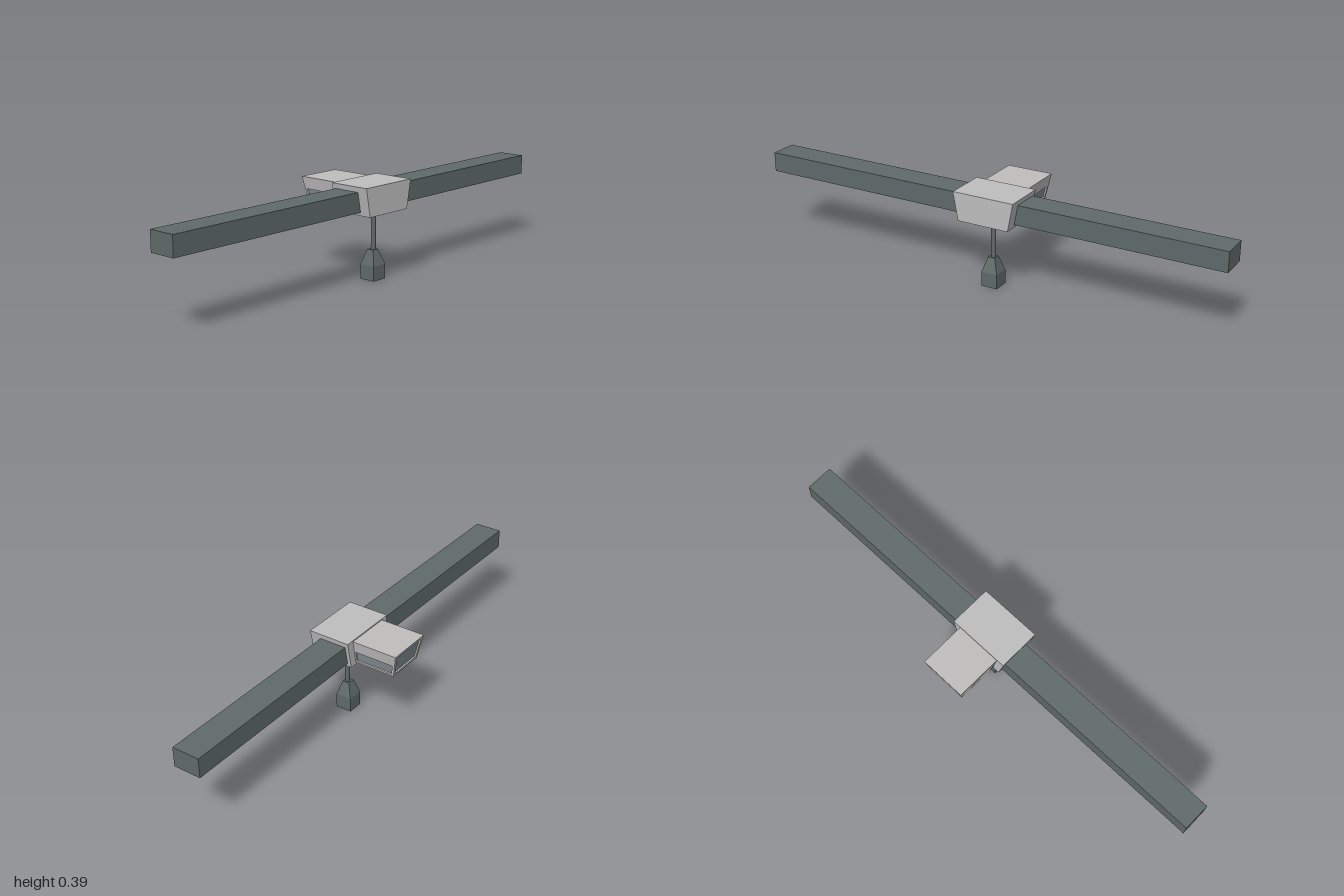
import * as THREE from 'three';

const mat = (name, color, side = THREE.FrontSide) => {
  const m = new THREE.MeshStandardMaterial({ color, side });
  m.name = name;
  return m;
};

// Flat-shaded geometry from four-cornered faces, corners counter-clockwise
function quads(list) {
  const pos = [];
  for (const [a, b, c, d] of list)
    for (const p of [a, b, c, a, c, d]) pos.push(p.x, p.y, p.z);
  const g = new THREE.BufferGeometry();
  g.setAttribute('position', new THREE.Float32BufferAttribute(pos, 3));
  g.computeVertexNormals();
  return g;
}

// Wall panel with a recessed opening given in 0..1 across and up the panel
function windowWall([bl, br, tr, tl], [u0, u1, v0, v1], depth) {
  const at = (u, v) => bl.clone().lerp(br, u).lerp(tl.clone().lerp(tr, u), v);
  const normal = br.clone().sub(bl).cross(tl.clone().sub(bl)).normalize();
  const outer = [bl, br, tr, tl];
  const hole = [at(u0, v0), at(u1, v0), at(u1, v1), at(u0, v1)];
  const pane = hole.map((p) => p.clone().addScaledVector(normal, -depth));
  const frame = [];
  for (let i = 0; i < 4; i++) {
    const j = (i + 1) % 4;
    frame.push([outer[i], outer[j], hole[j], hole[i]]);
    frame.push([hole[i], hole[j], pane[j], pane[i]]);
  }
  return { frame, pane };
}

export function createModel() {
  const model = new THREE.Group();
  model.name = 'overheadCrane';
  const steel = mat('darkSteel', 0x5f6a69);
  const paint = mat('lightGrey', 0xbebebe);
  const cabPaint = mat('cabGrey', 0xc0bdbd);
  const glass = mat('glass', 0x849093, THREE.DoubleSide);
  const cx = 0.038;
  const hz = 0.105;

  const add = (name, geometry, material, x = 0, y = 0, z = 0, parent = model) => {
    const mesh = new THREE.Mesh(geometry, material);
    mesh.name = name;
    mesh.position.set(x, y, z);
    parent.add(mesh);
    return mesh;
  };

  // Long beam
  add('beam', new THREE.BoxGeometry(2, 0.081, 0.115), steel, 0, 0.33, 0.082);

  // Trolley, narrower at the bottom
  const outline = new THREE.Shape([
    new THREE.Vector2(-0.109, 0.276), new THREE.Vector2(0.109, 0.276),
    new THREE.Vector2(0.131, 0.392), new THREE.Vector2(-0.131, 0.392),
  ]);
  add('trolley', new THREE.ExtrudeGeometry(outline, { depth: 0.177, bevelEnabled: false }),
    paint, cx, 0, 0.009);

  // Operator cab with tapered sides and a raked rear
  const cab = new THREE.Group();
  cab.name = 'cab';
  cab.position.x = cx;
  model.add(cab);
  const V = (x, y, z) => new THREE.Vector3(x, y, z);
  const yb = 0.285, yt = 0.387, wb = 0.08, wt = 0.097, zf = 0.012, zb = -0.165, zt = -0.185;
  const ring = (s) => ({
    fb: V(s * wb, yb, zf), ft: V(s * wt, yt, zf), rb: V(s * wb, yb, zb), rt: V(s * wt, yt, zt),
  });
  const L = ring(1), R = ring(-1);
  const walls = {
    left: windowWall([L.fb, L.rb, L.rt, L.ft], [0.05, 0.945, 0.09, 0.515], 0.006),
    right: windowWall([R.rb, R.fb, R.ft, R.rt], [0.055, 0.95, 0.09, 0.515], 0.006),
    rear: windowWall([L.rb, R.rb, R.rt, L.rt], [0.07, 0.93, 0.11, 0.89], 0.006),
  };
  const shell = [
    [L.ft, L.rt, R.rt, R.ft], // roof
    [R.fb, R.rb, L.rb, L.fb], // floor
    [R.fb, L.fb, L.ft, R.ft], // front
  ];
  for (const [side, wall] of Object.entries(walls)) {
    shell.push(...wall.frame);
    add(side + 'Window', quads([wall.pane]), glass, 0, 0, 0, cab);
  }
  add('cabShell', quads(shell), cabPaint, 0, 0, 0, cab);

  // Hoist rod and hook block
  add('hoistRod', new THREE.CylinderGeometry(0.01, 0.01, 0.17, 16), steel, cx + 0.002, 0.2, hz + 0.001);
  add('hookBlock', new THREE.BoxGeometry(0.068, 0.06, 0.068), steel, cx, 0.03, hz);
  const taper = new THREE.CylinderGeometry(0.015 * Math.SQRT2, 0.034 * Math.SQRT2, 0.06, 4)
    .rotateY(Math.PI / 4).toNonIndexed();
  taper.computeVertexNormals();
  add('hookBlockTop', taper, steel, cx, 0.09, hz);

  return model;
}
